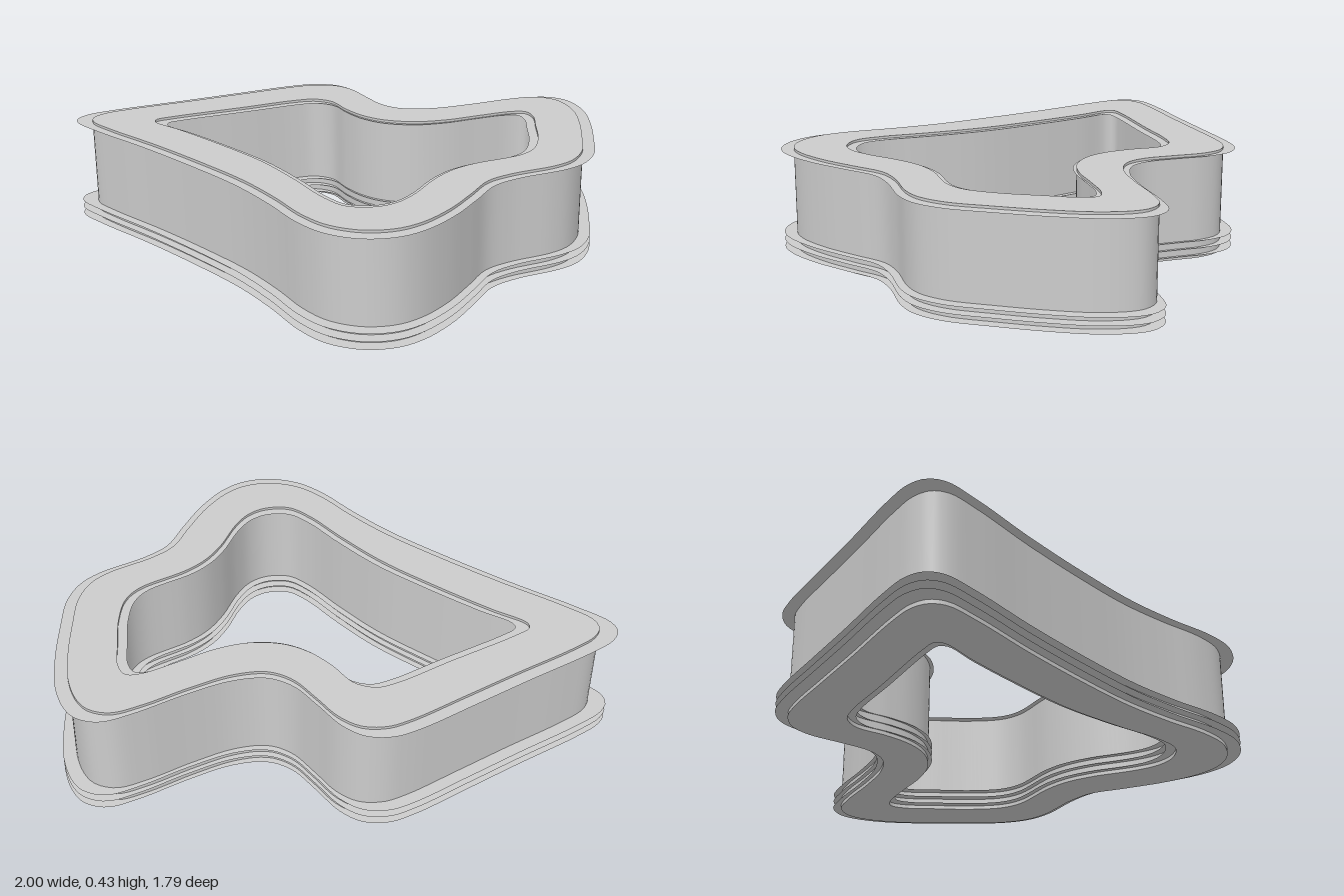
import * as THREE from 'three';
import { toCreasedNormals } from 'three/addons/utils/BufferGeometryUtils.js';

// Outline control points as seen from above (x, z), same direction for both
const OUTER = [
  [-1, -0.78], [-0.98, -0.84], [-0.92, -0.875], [-0.8, -0.888], [-0.5, -0.89], [-0.25, -0.895], [0, -0.898],
  [0.1, -0.883], [0.18, -0.83], [0.22, -0.74], [0.23, -0.6], [0.245, -0.46], [0.3, -0.37], [0.42, -0.315],
  [0.6, -0.295], [0.8, -0.29], [0.925, -0.268], [0.985, -0.205], [0.997, -0.13], [0.97, 0], [0.9, 0.15],
  [0.8, 0.32], [0.7, 0.47], [0.6, 0.55], [0.5, 0.578], [0.3, 0.583], [0.18, 0.61], [0.05, 0.705],
  [-0.1, 0.81], [-0.25, 0.88], [-0.36, 0.893], [-0.47, 0.855], [-0.56, 0.76], [-0.605, 0.63],
  [-0.63, 0.42], [-0.67, 0.2], [-0.75, -0.07], [-0.85, -0.36], [-0.96, -0.64],
];
const INNER = [
  [-0.675, -0.585], [-0.662, -0.614], [-0.6, -0.622], [-0.3, -0.618], [-0.08, -0.617], [0, -0.6], [0.05, -0.54],
  [0.06, -0.42], [0.085, -0.31], [0.14, -0.22], [0.24, -0.15], [0.36, -0.12], [0.5, -0.115], [0.64, -0.105],
  [0.688, -0.08], [0.685, -0.02], [0.63, 0.09], [0.56, 0.22], [0.48, 0.32], [0.4, 0.36], [0.2, 0.37],
  [0.1, 0.395], [0, 0.45], [-0.13, 0.55], [-0.22, 0.595], [-0.3, 0.597], [-0.38, 0.55], [-0.415, 0.45],
  [-0.435, 0.25], [-0.47, 0.02], [-0.54, -0.22], [-0.62, -0.45],
];
const HEIGHT = 0.43;
const SAMPLES = 240;

// Smooth closed loop through the control points, in the shape plane (x, -z)
function smoothLoop(points, scale = 1) {
  const curve = new THREE.CatmullRomCurve3(
    points.map(([x, z]) => new THREE.Vector3(x * scale, -z * scale, 0)), true);
  return curve.getSpacedPoints(SAMPLES).slice(0, SAMPLES).map((p) => new THREE.Vector2(p.x, p.y));
}

// Holes run the opposite way round so that their walls face into the opening
function ringShape(outside, hole) {
  const shape = new THREE.Shape(outside);
  shape.holes.push(new THREE.Path([...hole].reverse()));
  return shape;
}

export function createModel() {
  const group = new THREE.Group();
  group.name = 'outlineFrame';
  const solid = new THREE.MeshStandardMaterial({ color: 0xcccccc });
  const sheet = new THREE.MeshStandardMaterial({ color: 0xcccccc, side: THREE.DoubleSide });

  // The wall follows the rim outlines, scaled about the centre
  const rimOuter = smoothLoop(OUTER);
  const rimInner = smoothLoop(INNER);
  const wallOuter = smoothLoop(OUTER, 0.945);
  const wallInner = smoothLoop(INNER, 1.06);

  const wall = new THREE.ExtrudeGeometry(ringShape(wallOuter, wallInner), { depth: HEIGHT, bevelEnabled: false });
  wall.rotateX(-Math.PI / 2);
  const body = new THREE.Mesh(toCreasedNormals(wall, Math.PI / 5), solid);
  body.name = 'wall';
  group.add(body);

  // Thin lips outside and inside the wall: three at the bottom, one at the top
  const lips = {
    outerLip: new THREE.ShapeGeometry(ringShape(rimOuter, wallOuter)).rotateX(-Math.PI / 2),
    innerLip: new THREE.ShapeGeometry(ringShape(wallInner, rimInner)).rotateX(-Math.PI / 2),
  };
  [0.015, 0.045, 0.075, 0.42].forEach((y, i) => {
    for (const [name, geometry] of Object.entries(lips)) {
      const lip = new THREE.Mesh(geometry, sheet);
      lip.name = name + (i + 1);
      lip.position.y = y;
      group.add(lip);
    }
  });

  return group;
}
